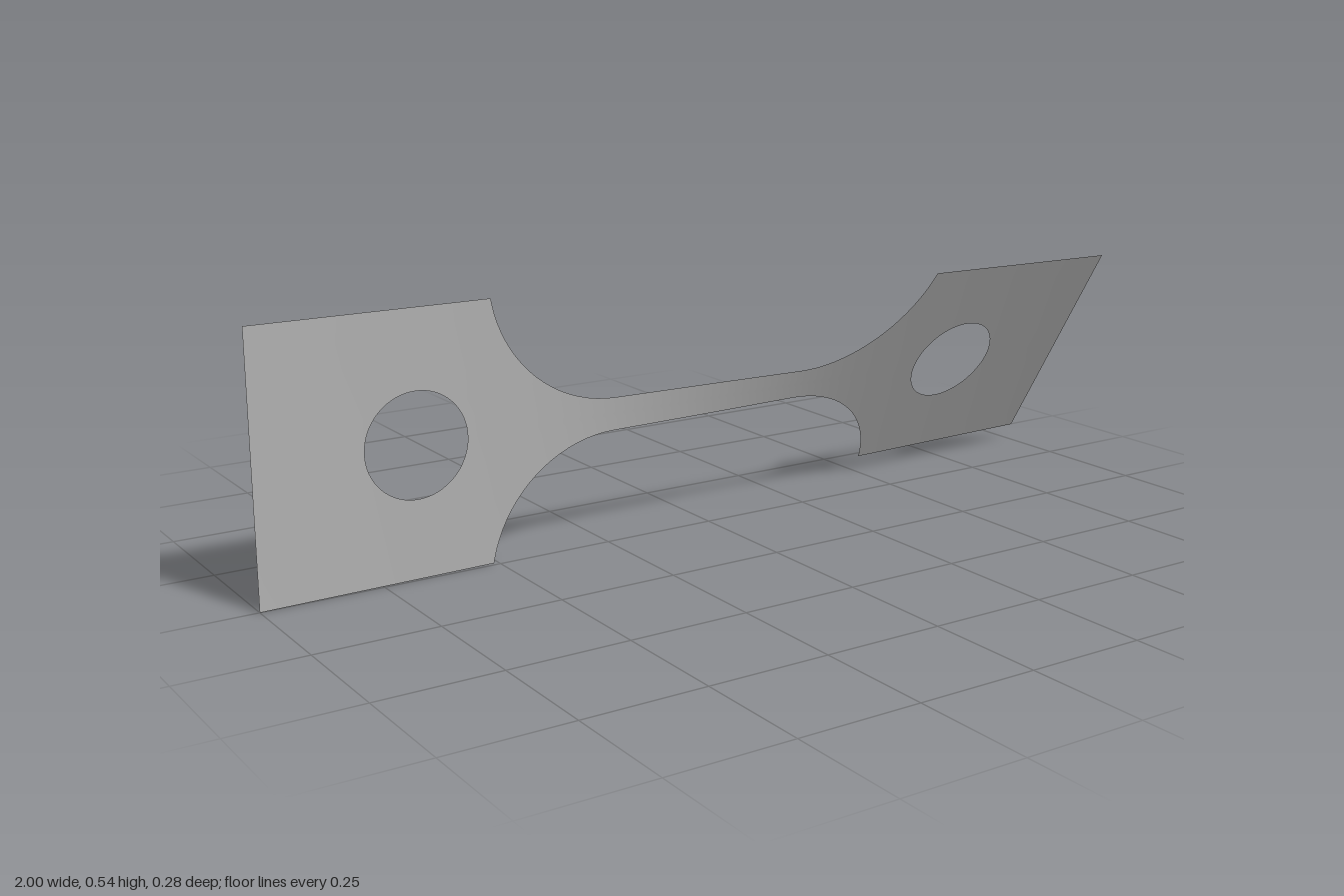
import * as THREE from 'three';
import { mergeVertices } from 'three/addons/utils/BufferGeometryUtils.js';

const HALF = 0.271;                       // half height of the end plates
const NECK = 0.036, NECK_END = 0.23;      // half height and half length of the neck
const FILLET_END = 0.51, FILLET_R = 0.284;
const HOLE_X = 0.671, HOLE_R = 0.108;
const TWIST = THREE.MathUtils.degToRad(31);
const ROWS = 5;

// Outer half height of the flat strip at x
function outer(x) {
  const a = Math.abs(x);
  if (a <= NECK_END) return NECK;
  if (a >= FILLET_END) return HALF;
  const d = a - NECK_END;
  return Math.min(HALF, NECK + FILLET_R - Math.sqrt(FILLET_R ** 2 - d * d));
}

// Half height of the round hole at x, zero elsewhere
function inner(x) {
  const d = Math.abs(x) - HOLE_X;
  return Math.sqrt(Math.max(0, HOLE_R ** 2 - d * d));
}

// Column positions, denser along the curves, mirrored about x = 0
function columns() {
  const half = [];
  const span = (n, f) => { for (let i = 1; i <= n; i++) half.push(f(i / n)); };
  const lerp = THREE.MathUtils.lerp;
  span(12, t => lerp(0, NECK_END, t));
  span(20, t => lerp(NECK_END, FILLET_END, Math.sin(t * Math.PI / 2)));
  span(3, t => lerp(FILLET_END, HOLE_X - HOLE_R, t));
  span(32, t => HOLE_X - HOLE_R * Math.cos(t * Math.PI));
  span(6, t => lerp(HOLE_X + HOLE_R, 1, t));
  return [...half.map(x => -x).reverse(), 0, ...half];
}

// Twist angle per column: narrow sections turn more than wide ones
function twistAngles(xs) {
  const angles = [0];
  for (let i = 1; i < xs.length; i++) {
    const mid = (xs[i] + xs[i - 1]) / 2;
    angles.push(angles[i - 1] + (xs[i] - xs[i - 1]) / outer(mid) ** 1.1);
  }
  const total = angles[angles.length - 1];
  return angles.map(a => a / total * TWIST);
}

function twistedSheet() {
  const xs = columns(), angles = twistAngles(xs);
  const pos = [], index = [];
  // Upper and lower halves, each running from the centre line or hole to the edge
  for (const side of [1, -1]) {
    const base = pos.length / 3;
    xs.forEach((x, i) => {
      for (let j = 0; j <= ROWS; j++) {
        const h = side * THREE.MathUtils.lerp(inner(x), outer(x), j / ROWS);
        pos.push(x, HALF + h * Math.cos(angles[i]), h * Math.sin(angles[i]));
      }
    });
    for (let i = 0; i < xs.length - 1; i++) {
      for (let j = 0; j < ROWS; j++) {
        const a = base + i * (ROWS + 1) + j, b = a + ROWS + 1;
        if (side > 0) index.push(a, b, b + 1, a, b + 1, a + 1);
        else index.push(a, b + 1, b, a, a + 1, b + 1);
      }
    }
  }
  let geo = new THREE.BufferGeometry();
  geo.setAttribute('position', new THREE.Float32BufferAttribute(pos, 3));
  geo.setIndex(index);
  geo = mergeVertices(geo, 1e-5);
  geo.computeVertexNormals();
  return geo;
}

export function createModel() {
  const group = new THREE.Group();
  group.name = 'twistedTestStrip';
  const metal = new THREE.MeshStandardMaterial({ color: 0xb2b2b2, side: THREE.DoubleSide });
  metal.name = 'light grey metal';
  const strip = new THREE.Mesh(twistedSheet(), metal);
  strip.name = 'stripWithHoledEnds';
  group.add(strip);
  return group;
}
